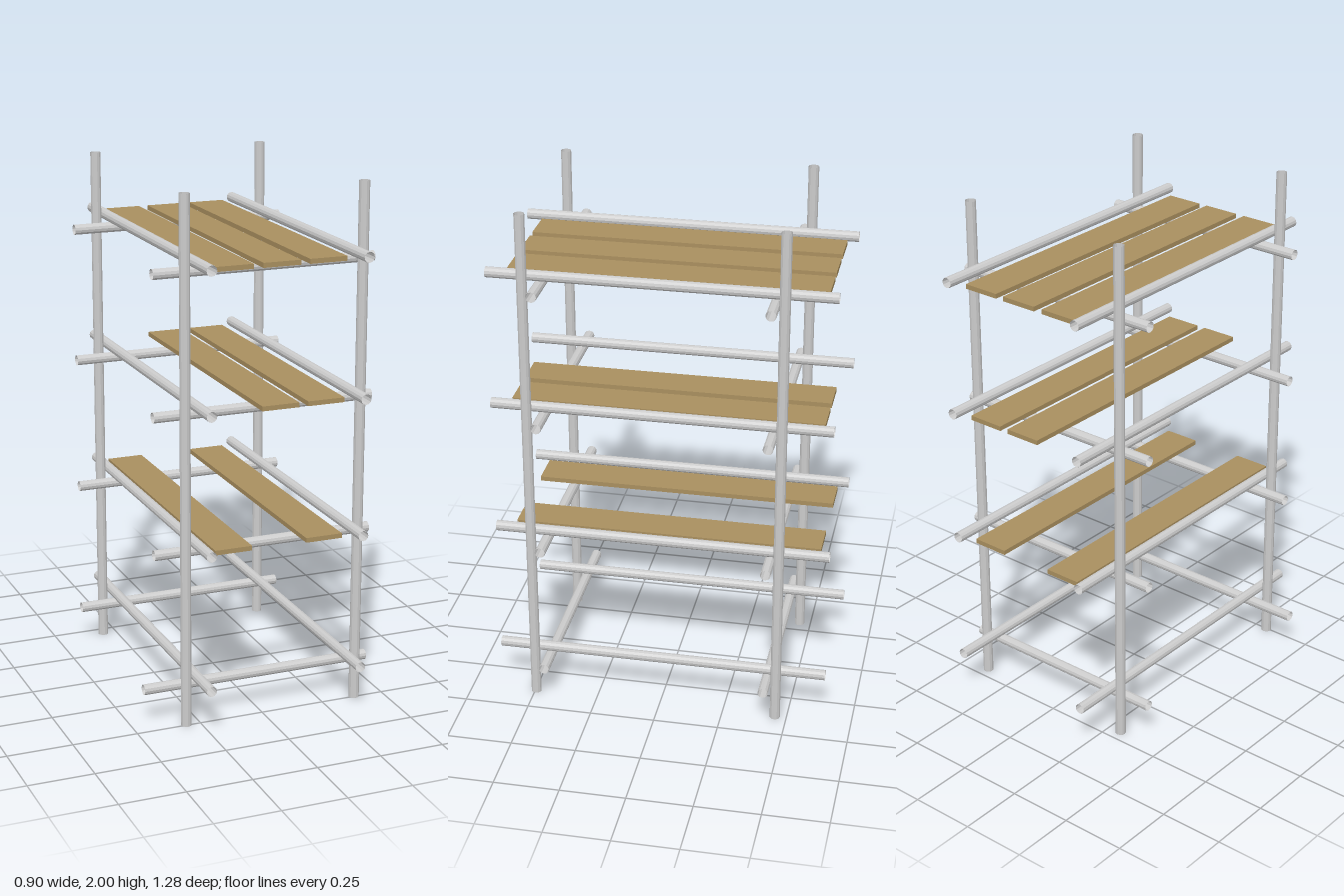
import * as THREE from 'three';

export function createModel() {
  const model = new THREE.Group();
  model.name = 'scaffold';
  const steel = new THREE.MeshStandardMaterial({ color: 0xcccccc, flatShading: true, side: THREE.DoubleSide });
  const wood = new THREE.MeshStandardMaterial({ color: 0xa98f5f });
  const radius = 0.02;

  // Open-ended pipe running along one axis
  function pipe(name, axis, length, x, y, z) {
    const geometry = new THREE.CylinderGeometry(radius, radius, length, 12, 1, true);
    if (axis === 'x') geometry.rotateZ(Math.PI / 2);
    if (axis === 'z') geometry.rotateX(Math.PI / 2);
    const mesh = new THREE.Mesh(geometry, steel);
    mesh.name = name;
    mesh.position.set(x, y, z);
    model.add(mesh);
  }

  // Uprights
  for (const x of [-0.305, 0.385])
    for (const z of [-0.455, 0.495]) pipe('upright', 'y', 2, x, 1, z);

  // Which of the three planks lie on each level, from the bottom up
  const planks = [[], [-0.149, 0.211], [0.032, 0.211], [-0.149, 0.032, 0.211]];

  planks.forEach((row, level) => {
    const y = 0.145 + level * 0.522;

    // Long side rails, one pipe above the cross bars
    for (const x of [-0.26, 0.34]) pipe('sideRail', 'z', 1.28, x, y + 0.04, 0);

    // Cross bars; the lowest front one sticks out further
    pipe('backCrossBar', 'x', 0.86, 0.02, y, -0.415);
    const start = level === 0 ? -0.455 : -0.41;
    pipe('frontCrossBar', 'x', 0.45 - start, (0.45 + start) / 2, y, 0.445);

    // Deck planks resting on the cross bars
    for (const x of row) {
      const plank = new THREE.Mesh(new THREE.BoxGeometry(0.144, 0.018, 1.176), wood);
      plank.name = 'plank';
      plank.position.set(x, y + radius + 0.009, -0.012);
      model.add(plank);
    }
  });

  return model;
}
